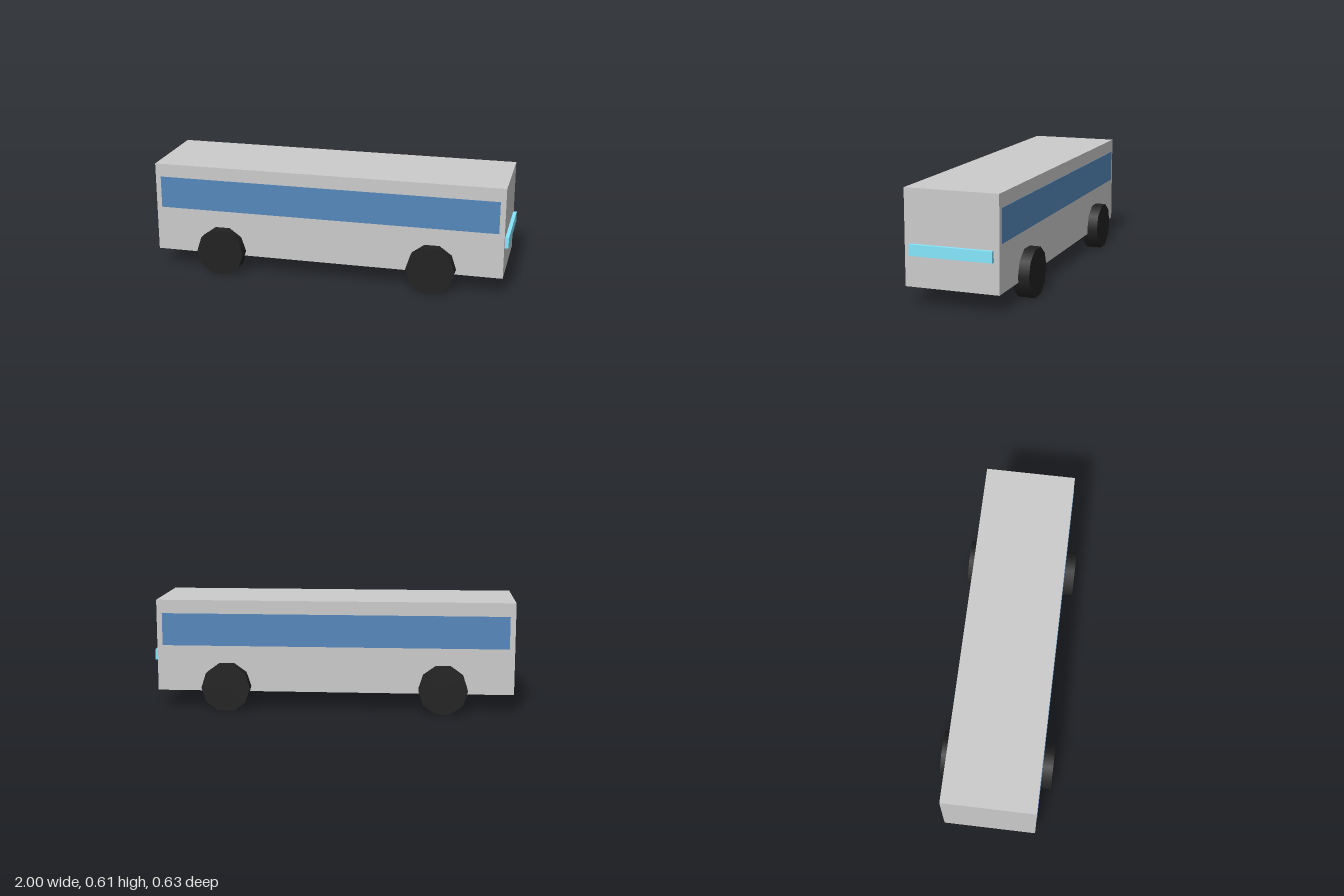
import * as THREE from 'three';

export function createModel() {
  const group = new THREE.Group();
  const material = (color) => new THREE.MeshStandardMaterial({ color });
  const grey = material(0xcccccc);
  const glass = material(0x5588bb);
  const lightBlue = material(0x85e6fd);
  const rubber = material(0x222222);

  const add = (name, geometry, mat, x, y, z) => {
    const mesh = new THREE.Mesh(geometry, mat);
    mesh.name = name;
    mesh.position.set(x, y, z);
    group.add(mesh);
  };

  // Long box body and the bar across its +x end
  add('body', new THREE.BoxGeometry(1.98, 0.51, 0.512), grey, -0.01, 0.355, 0);
  add('endBar', new THREE.BoxGeometry(0.02, 0.06, 0.452), lightBlue, 0.99, 0.295, 0);

  // Ten-sided wheels, flat side down, axle along z
  const radius = 0.1355;
  const wheel = new THREE.CylinderGeometry(radius, radius, 0.09, 10);
  wheel.rotateY(Math.PI / 2).rotateX(Math.PI / 2);
  const axleHeight = radius * Math.cos(Math.PI / 10);

  // Window strips and wheels on both long sides
  const strip = new THREE.BoxGeometry(1.92, 0.18, 0.006);
  for (const [side, s] of [['front', 1], ['back', -1]]) {
    add(side + 'WindowStrip', strip, glass, -0.01, 0.445, s * 0.2555);
    add(side + 'RightWheel', wheel, rubber, -0.61, axleHeight, s * 0.271);
    add(side + 'LeftWheel', wheel, rubber, 0.59, axleHeight, s * 0.271);
  }
  return group;
}
